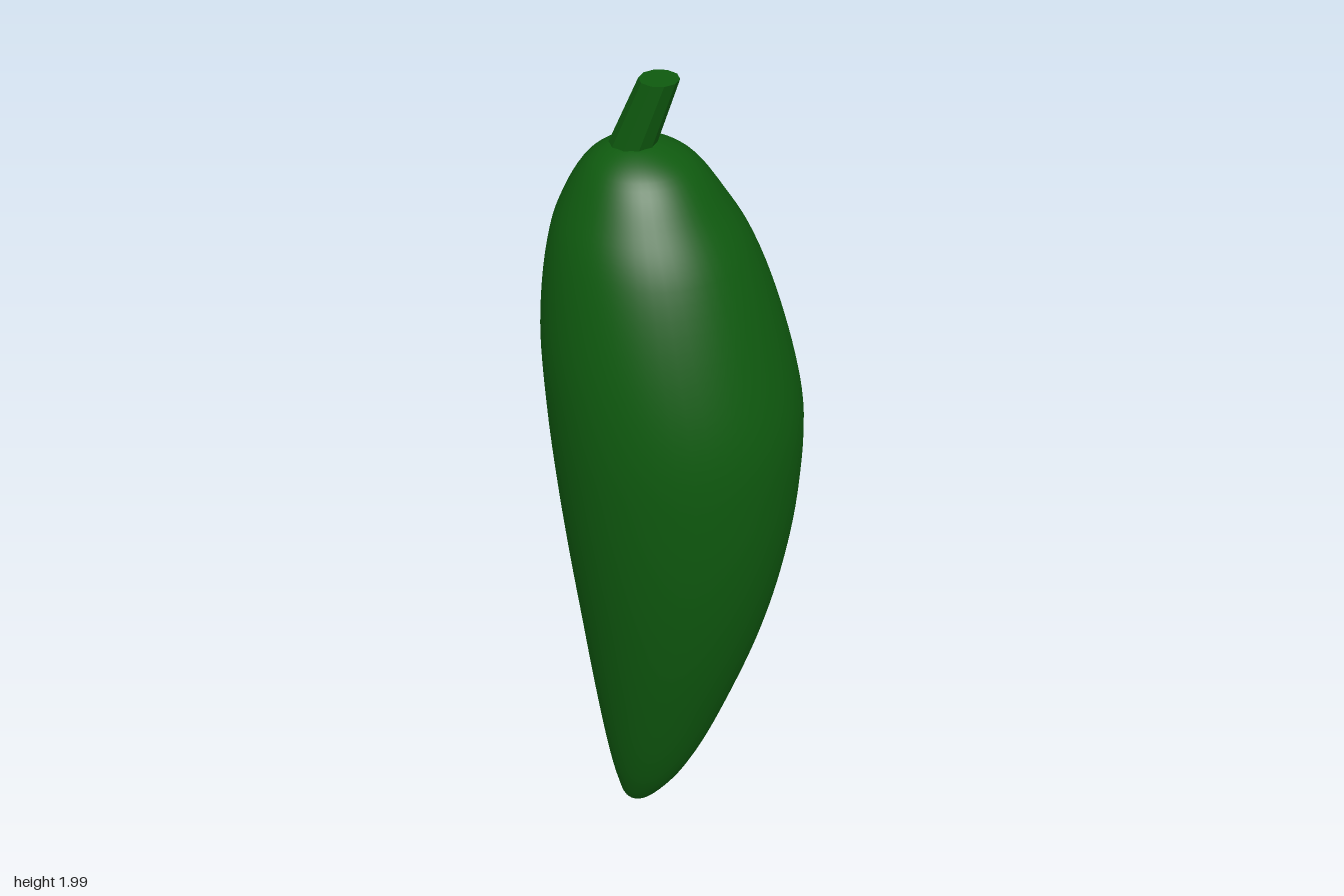
import * as THREE from 'three';

export function createModel() {
  const model = new THREE.Group();
  const green = new THREE.MeshStandardMaterial({ color: 0x0f5a0f });
  green.name = 'dark green';

  // Pod sections from tip to shoulder: [left edge x, right edge x, height]
  const sections = [
    [-0.1, -0.1, 0.008], [-0.125, -0.07, 0.018], [-0.147, -0.005, 0.09],
    [-0.167, 0.06, 0.2], [-0.195, 0.145, 0.4], [-0.22, 0.215, 0.6],
    [-0.246, 0.265, 0.8], [-0.27, 0.293, 1.0], [-0.29, 0.297, 1.2],
    [-0.302, 0.253, 1.4], [-0.285, 0.18, 1.6], [-0.257, 0.12, 1.7],
    [-0.2, 0.043, 1.8], [-0.145, -0.03, 1.838], [-0.09, -0.09, 1.847],
  ];
  const curve = new THREE.CatmullRomCurve3(
    sections.map(([l, r, y]) => new THREE.Vector3((l + r) / 2, y, (r - l) / 2))
  );

  // Pod: smooth rings lofted along the curve, closed by a point at each end
  const rings = 84, sides = 48;
  const positions = [], index = [];
  for (let i = 0; i <= rings; i++) {
    const p = curve.getPoint(i / rings);
    const r = i === 0 || i === rings ? 0 : p.z;
    for (let j = 0; j < sides; j++) {
      const a = (j / sides) * Math.PI * 2;
      positions.push(p.x + r * Math.cos(a), p.y, r * 0.985 * Math.sin(a));
      if (i === rings) continue;
      const k = i * sides + j;
      const n = i * sides + ((j + 1) % sides);
      if (i < rings - 1) index.push(k, k + sides, n + sides);
      if (i > 0) index.push(k, n + sides, n);
      if (i === rings - 1) index.push(k, k + sides, n);
    }
  }
  // Drop the collapsed triangles at the top point
  const faces = [];
  for (let f = 0; f < index.length; f += 3) {
    const tri = index.slice(f, f + 3);
    if (tri.filter((v) => v >= rings * sides).length < 2) faces.push(...tri);
  }
  const podGeometry = new THREE.BufferGeometry();
  podGeometry.setAttribute('position', new THREE.Float32BufferAttribute(positions, 3));
  podGeometry.setIndex(faces);
  podGeometry.computeVertexNormals();
  const pod = new THREE.Mesh(podGeometry, green);
  pod.name = 'pod';
  model.add(pod);

  // Stem: ten-sided tapered stub, sheared so its cut end stays level
  const bottom = 1.82, top = 2;
  let stemGeometry = new THREE.CylinderGeometry(0.045, 0.054, top - bottom, 10);
  stemGeometry.translate(0, (top + bottom) / 2, 0);
  const pos = stemGeometry.attributes.position;
  for (let i = 0; i < pos.count; i++) {
    const t = (pos.getY(i) - bottom) / (top - bottom);
    pos.setX(i, pos.getX(i) + THREE.MathUtils.lerp(-0.102, -0.033, t));
  }
  stemGeometry = stemGeometry.toNonIndexed();
  stemGeometry.computeVertexNormals();
  const stem = new THREE.Mesh(stemGeometry, green);
  stem.name = 'stem';
  model.add(stem);

  return model;
}
